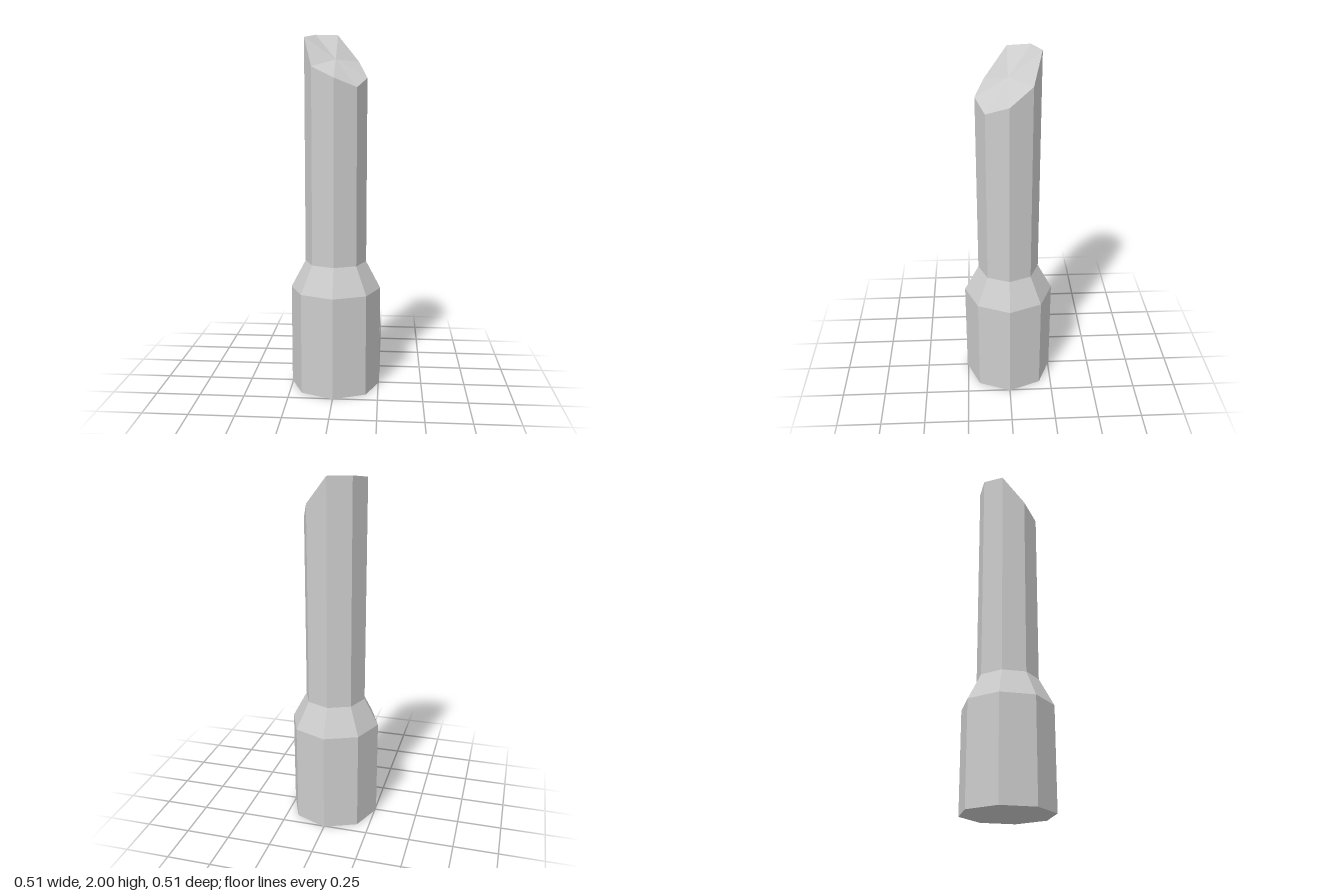
import * as THREE from 'three';

const SIDES = 8;
const R_BASE = 0.256, R_SHAFT = 0.174;
const Y_BASE = 0.575, Y_COLLAR = 0.73;

// Heights of the slanted tip's corners, going round from +z towards +x
const TIP = [1.76, 1.71, 1.76, 1.85, 2.0, 2.0, 1.98, 1.82];
const TIP_CENTRE = 1.86;

// Eight-sided turned section from [radius, height] pairs, listed upwards
function section(name, profile) {
  const points = profile.map(([r, y]) => new THREE.Vector2(r, y));
  const material = new THREE.MeshStandardMaterial({ color: 0xcccccc, flatShading: true });
  const mesh = new THREE.Mesh(new THREE.LatheGeometry(points, SIDES), material);
  mesh.name = name;
  return mesh;
}

export function createModel() {
  const group = new THREE.Group();
  group.name = 'slantCutPost';

  // Wide base with closed underside, and the tapering collar above it
  group.add(section('base', [[0, 0], [R_BASE, 0], [R_BASE, Y_BASE]]));
  group.add(section('collar', [[R_BASE, Y_BASE], [R_SHAFT, Y_COLLAR]]));

  // Shaft: its rim is lifted corner by corner to make the slanted cut
  const profile = [[R_SHAFT, Y_COLLAR], [R_SHAFT, 1.9], [0, 1.9]];
  const shaft = section('shaft', profile);
  const pos = shaft.geometry.attributes.position;
  for (let i = 0; i <= SIDES; i++) {
    const first = i * profile.length;
    pos.setY(first + 1, TIP[i % SIDES]);
    pos.setY(first + 2, TIP_CENTRE);
  }
  shaft.geometry.computeVertexNormals();
  group.add(shaft);

  return group;
}
